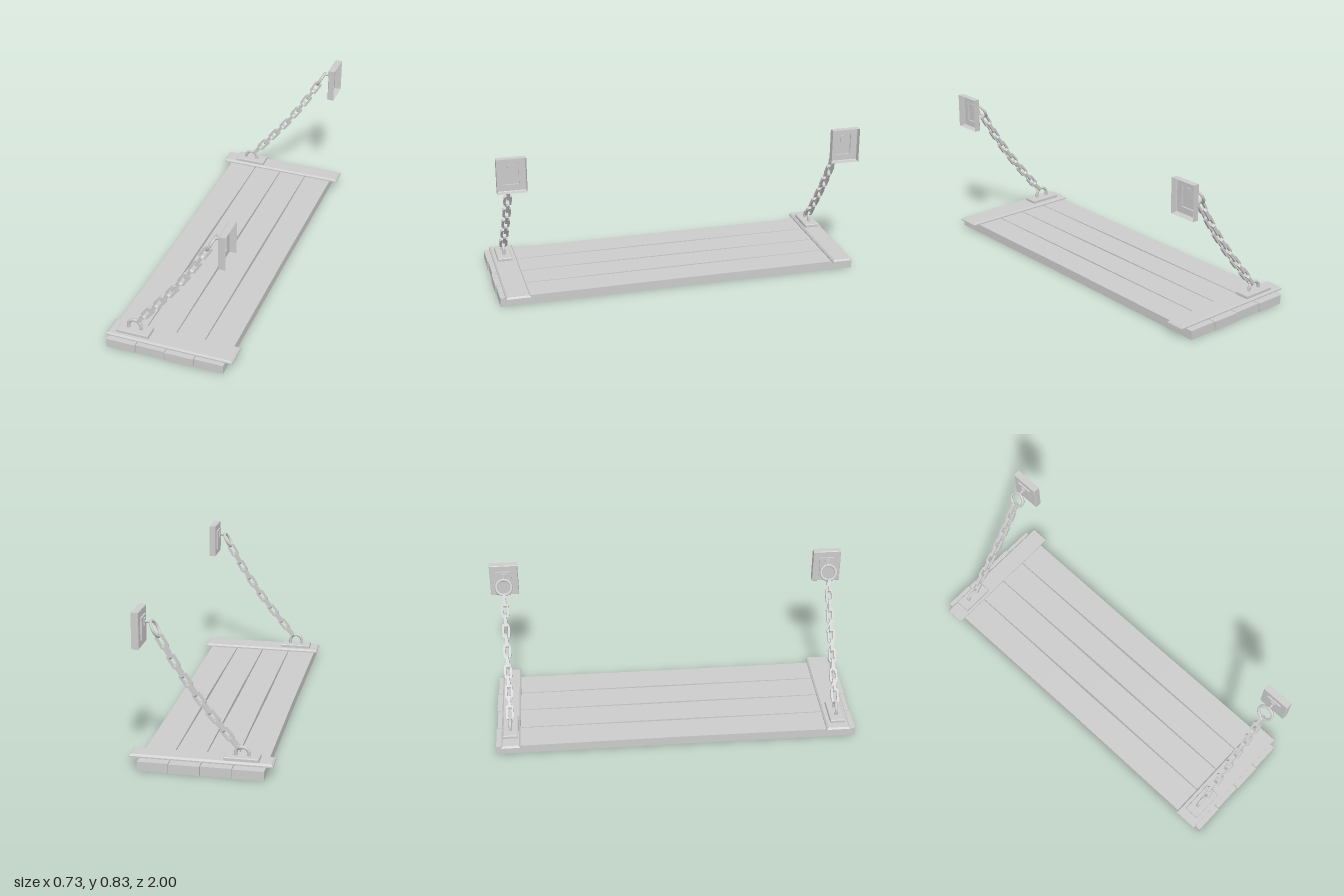
import * as THREE from 'three';

const material = new THREE.MeshStandardMaterial({ color: 0xcccccc, side: THREE.DoubleSide });

function add(parent, name, geometry, x = 0, y = 0, z = 0) {
  const mesh = new THREE.Mesh(geometry, material);
  mesh.name = name;
  mesh.position.set(x, y, z);
  parent.add(mesh);
  return mesh;
}

// Rectangular cover, open underneath: rings are [inset, height], the last one is capped.
function shell(w, d, rings) {
  const corners = [[-1, 1], [1, 1], [1, -1], [-1, -1]];
  const point = (r, c) => [
    corners[c % 4][0] * (w / 2 - rings[r][0]), rings[r][1], corners[c % 4][1] * (d / 2 - rings[r][0])];
  const out = [];
  const quad = (a, b, c, e) => out.push(...a, ...b, ...c, ...a, ...c, ...e);
  for (let r = 0; r < rings.length - 1; r++)
    for (let c = 0; c < 4; c++) quad(point(r, c), point(r, c + 1), point(r + 1, c + 1), point(r + 1, c));
  const top = rings.length - 1;
  quad(point(top, 0), point(top, 1), point(top, 2), point(top, 3));
  const g = new THREE.BufferGeometry();
  g.setAttribute('position', new THREE.Float32BufferAttribute(out, 3));
  g.computeVertexNormals();
  return g;
}

// Outline of a rectangle with cut corners
function cutRect(target, l, w, c) {
  const a = l / 2, b = w / 2;
  target.setFromPoints([[-a + c, -b], [a - c, -b], [a, -b + c], [a, b - c], [a - c, b], [-a + c, b], [-a, b - c], [-a, -b + c], [-a + c, -b]]
    .map(p => new THREE.Vector2(...p)));
  return target;
}

function linkGeometry() {
  const shape = cutRect(new THREE.Shape(), 0.078, 0.043, 0.008);
  shape.holes.push(cutRect(new THREE.Path(), 0.054, 0.021, 0.004));
  const g = new THREE.ExtrudeGeometry(shape, { depth: 0.016, bevelEnabled: false });
  return g.translate(0, 0, -0.008);
}

function buildChain(parent) {
  const chain = new THREE.Group();
  chain.name = 'chain';
  const path = new THREE.CatmullRomCurve3(
    [[-0.165, 0.161], [-0.06, 0.289], [0.04, 0.419], [0.137, 0.565], [0.196, 0.666]]
      .map(([x, y]) => new THREE.Vector3(x, y, 0)));
  const flat = linkGeometry();
  const turned = flat.clone().rotateX(Math.PI / 2);
  const count = 12;
  for (let i = 0; i < count; i++) {
    const p = path.getPointAt(i / (count - 1)), t = path.getTangentAt(i / (count - 1));
    const link = add(chain, 'chainLink', i % 2 ? flat : turned, p.x, p.y, 0);
    link.rotation.z = Math.atan2(t.y, t.x);
  }
  parent.add(chain);
}

// Arched loop standing on the base plate
function archGeometry() {
  const r = 0.035, points = [new THREE.Vector3(-r, -0.03, 0)];
  for (let i = 0; i <= 8; i++) {
    const a = Math.PI * (1 - i / 8);
    points.push(new THREE.Vector3(Math.cos(a) * r, Math.sin(a) * r, 0));
  }
  points.push(new THREE.Vector3(r, -0.03, 0));
  return new THREE.TubeGeometry(new THREE.CatmullRomCurve3(points), 24, 0.009, 8);
}

function buildSupport(parent, s) {
  const support = new THREE.Group();
  support.name = s.name;

  // Strap across the planks with the loop's base plate
  add(support, 'crossBar', shell(s.x1 - s.x0, s.depth, [[0, 0], [0, 0.007], [0.008, s.h]]),
    (s.x0 + s.x1) / 2, s.y, s.barZ);
  add(support, 'loopBase', shell(0.18, 0.082, [[0, 0], [0, 0.016], [0.003, 0.02]]), -0.205, s.y + s.h - 0.002, s.z);
  add(support, 'loop', archGeometry(), -0.206, 0.103, s.z);

  const upper = new THREE.Group();
  upper.name = 'hanger';
  upper.position.z = s.z;
  buildChain(upper);

  // Ring and its stem
  add(upper, 'ring', new THREE.TorusGeometry(0.042, 0.008, 8, 24).rotateX(Math.PI / 2).rotateZ(1.07), 0.229, 0.731, 0);
  add(upper, 'ringStem', new THREE.CylinderGeometry(0.008, 0.008, 0.036, 8).rotateZ(Math.PI / 2), 0.265, 0.765, 0);
  add(upper, 'stemMount', new THREE.BoxGeometry(0.012, 0.036, 0.026), 0.283, 0.765, 0);

  // Stepped wall plate, hollow on the wall side
  const plate = shell(0.188, 0.156, [[0, 0], [0, 0.034], [0.003, 0.037], [0.036, 0.037], [0.036, 0.046]]);
  add(upper, 'wallPlate', plate.rotateZ(Math.PI / 2), 0.33, 0.736, 0);
  support.add(upper);
  parent.add(support);
}

export function createModel() {
  const model = new THREE.Group();
  model.name = 'hangingBench';

  // Seat planks
  const planks = [[-0.329, -0.169], [-0.165, -0.006], [-0.002, 0.156], [0.16, 0.319]];
  planks.forEach(([a, b], i) => {
    const length = i % 2 ? 1.99 : 2;
    const g = new THREE.BoxGeometry(b - a, 0.05, length, 1, 1, 8);
    // Slight narrowing towards the middle
    const p = g.attributes.position;
    for (let k = 0; k < p.count; k++) p.setX(k, p.getX(k) * (0.95 + 0.05 * Math.abs(p.getZ(k))));
    g.computeVertexNormals();
    add(model, 'plank', g, (a + b) / 2, 0.025, 0);
  });

  buildSupport(model, { name: 'frontSupport', x0: -0.345, x1: 0.358, y: 0.05, h: 0.016, depth: 0.132, barZ: 0.902, z: 0.905 });
  buildSupport(model, { name: 'backSupport', x0: -0.368, x1: 0.366, y: 0.06, h: 0.017, depth: 0.104, barZ: -0.918, z: -0.919 });
  return model;
}
